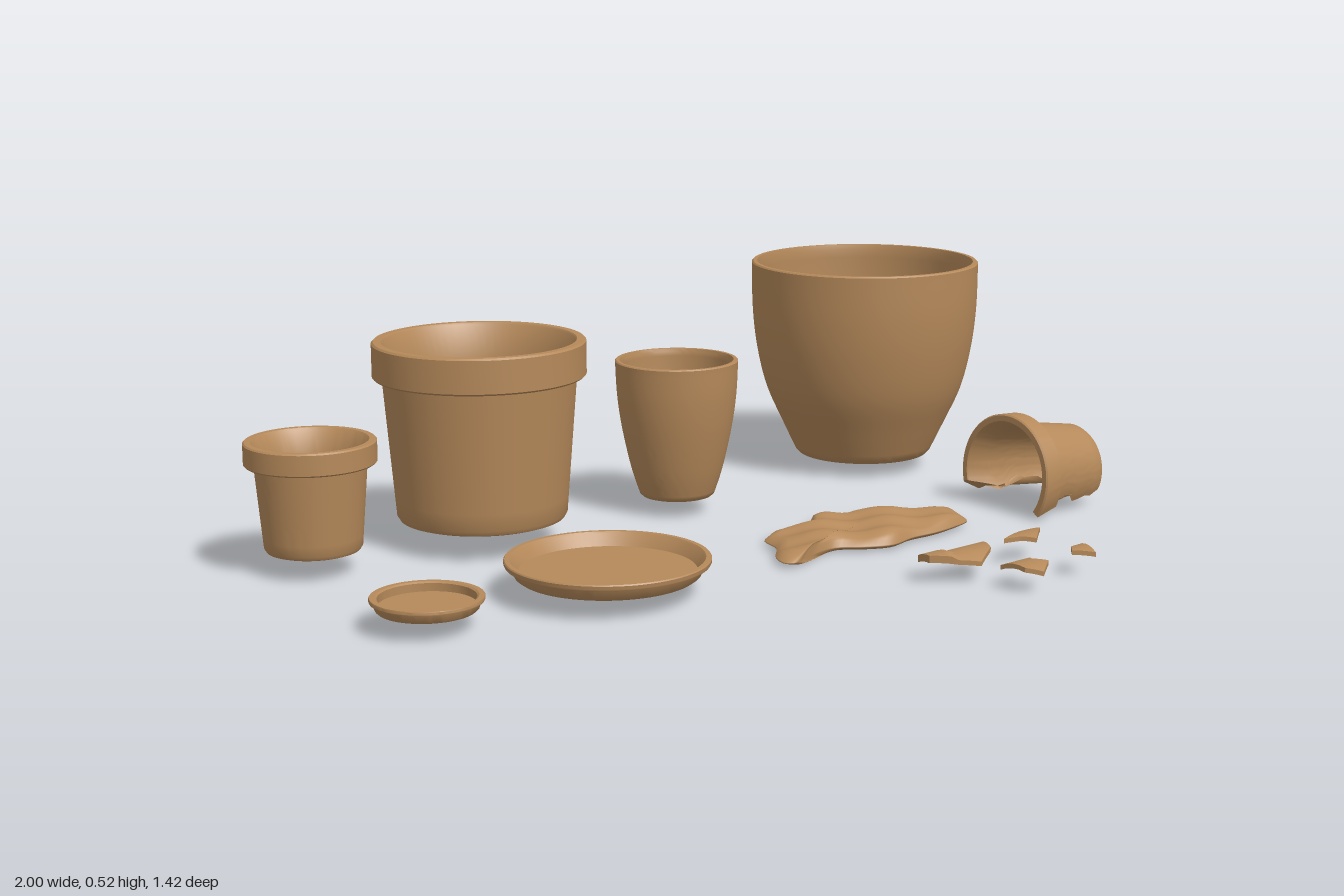
import * as THREE from 'three';
import { toCreasedNormals } from 'three/addons/utils/BufferGeometryUtils.js';

const clay = new THREE.MeshStandardMaterial({ color: 0xb5895a });
const brokenClay = new THREE.MeshStandardMaterial({ color: 0xb5895a, side: THREE.DoubleSide });
const vectors = (pts) => pts.map(([x, y]) => new THREE.Vector2(x, y));

function addMesh(group, name, geometry, x, y, z, material = clay) {
  const mesh = new THREE.Mesh(geometry, material);
  mesh.name = name;
  mesh.position.set(x, y, z);
  group.add(mesh);
  return mesh;
}

const lathe = (profile) => toCreasedNormals(new THREE.LatheGeometry(vectors(profile), 72), 0.6);

// Closed section of a pot with a thick collar and a drain hole
function collarProfile({ base, shoulder, rim, height, collar, hole, wall }) {
  const h = height - collar, e = wall * 0.2, sides = [];
  for (let i = 0; i <= 8; i++) {
    const t = i / 8;
    sides.push([base + (shoulder - base) * t, wall * 0.7 + (h - wall * 0.7) * t]);
  }
  const inner = sides.slice(1).reverse().map(([r, y]) => [r - wall, y]);
  return [
    [hole, 0], [base - wall * 0.9, 0], [base - wall * 0.3, wall * 0.2], ...sides,
    [rim - e, h], [rim, h + e], [rim, height - e], [rim - e, height],
    [rim - wall * 1.2 + e, height], [rim - wall * 1.2, height - e],
    ...inner, [base - wall, wall], [hole, wall], [hole, 0],
  ];
}

// Closed section of a bellied planter, following a smooth outer curve
function plantersProfile(outer, wall, hole) {
  const curve = new THREE.SplineCurve(vectors(outer));
  const out = curve.getPoints(28).map((p) => [p.x, p.y]);
  const top = out[out.length - 1];
  const inner = out.filter(([, y]) => y > wall && y < top[1] - wall * 0.3)
    .reverse().map(([r, y]) => [r - wall, y]);
  return [
    [hole, 0], [out[0][0] - wall * 0.3, 0], [out[0][0], wall * 0.3],
    ...out.slice(1, -1), [top[0], top[1] - wall * 0.2], [top[0] - wall * 0.2, top[1]],
    [top[0] - wall * 0.8, top[1]], ...inner,
    [out[0][0] - wall, wall], [hole, wall], [hole, 0],
  ];
}

function saucerProfile(r, h) {
  const lip = h * 0.32;
  return [
    [0, 0], [r * 0.86, 0], [r * 0.9, h * 0.15], [r * 0.94, h - lip],
    [r * 0.99, h - lip], [r, h - lip * 0.7], [r, h - lip * 0.2], [r * 0.99, h],
    [r - 0.012, h], [r - 0.016, h * 0.9], [r * 0.86, h * 0.3], [0, h * 0.3],
  ];
}

// Solid slab: an outline repeated in shrinking rings, underside first, then top
function slab(outline, cx, cz, rings, height) {
  const n = outline.length, pos = [], index = [];
  const scales = [];
  for (let i = 0; i <= rings; i++) scales.push([i / rings, 0]);
  for (let i = rings; i >= 0; i--) scales.push([i / rings, 1]);
  for (const [s, top] of scales) {
    for (const [ox, oz] of outline) {
      const x = cx + (ox - cx) * s, z = cz + (oz - cz) * s;
      pos.push(x, height(x, z, s, top), z);
    }
  }
  for (let i = 0; i < scales.length - 1; i++) {
    for (let j = 0; j < n; j++) {
      const a = i * n + j, b = i * n + (j + 1) % n;
      if (scales[i][0] > 0) index.push(a, a + n, b);
      if (scales[i + 1][0] > 0) index.push(b, a + n, b + n);
    }
  }
  const g = new THREE.BufferGeometry();
  g.setAttribute('position', new THREE.Float32BufferAttribute(pos, 3));
  g.setIndex(index);
  g.computeVertexNormals();
  return g;
}

// Pot shell on its side with the lower part broken off along a ragged line
function brokenPot(profile) {
  const group = new THREE.Group();
  group.name = 'brokenPot';
  const half = 2.02, mid = Math.PI / 2;
  const jag = (y, side) => 0.1 * Math.sin(y * 42 + side * 1.3) + 0.07 * Math.sin(y * 95 + side);
  const bend = (phi, y) => {
    const t = (phi - mid) / half;
    return phi + t ** 4 * Math.sign(t) * jag(y, Math.sign(t));
  };
  const shell = new THREE.LatheGeometry(vectors(profile), 56, mid - half, half * 2);
  const p = shell.attributes.position;
  for (let i = 0; i < p.count; i++) {
    const r = Math.hypot(p.getX(i), p.getZ(i)), y = p.getY(i);
    const column = Math.floor(i / profile.length);
    const phi = bend(mid - half + (column / 56) * half * 2, y);
    p.setXYZ(i, r * Math.sin(phi), y, r * Math.cos(phi));
  }
  addMesh(group, 'brokenPotShell', toCreasedNormals(shell, 0.6), 0, 0, 0, brokenClay);
  // fracture faces close the wall thickness
  for (const side of [-1, 1]) {
    const face = new THREE.ShapeGeometry(new THREE.Shape(vectors(profile.slice(0, -1))));
    const q = face.attributes.position;
    for (let i = 0; i < q.count; i++) {
      const r = q.getX(i), y = q.getY(i), phi = bend(mid + side * half, y);
      q.setXYZ(i, r * Math.sin(phi), y, r * Math.cos(phi));
    }
    face.computeVertexNormals();
    addMesh(group, 'fractureFace', face, 0, 0, 0, brokenClay);
  }
  return group;
}

export function createModel() {
  const model = new THREE.Group();
  model.name = 'flowerPots';

  // Collared pots
  const small = { base: 0.104, shoulder: 0.119, rim: 0.14, height: 0.24, collar: 0.05, hole: 0.025, wall: 0.016 };
  const medium = { base: 0.188, shoulder: 0.213, rim: 0.234, height: 0.4, collar: 0.08, hole: 0.033, wall: 0.02 };
  addMesh(model, 'smallPot', lathe(collarProfile(small)), -0.86, 0.047, -0.315);
  addMesh(model, 'mediumPot', lathe(collarProfile(medium)), -0.449, 0.058, -0.315);

  // Bellied planters
  addMesh(model, 'slimPlanter', lathe(plantersProfile(
    [[0.085, 0], [0.106, 0.065], [0.127, 0.16], [0.138, 0.24], [0.142, 0.32]], 0.013, 0.012)), 0.064, 0.039, -0.305);
  addMesh(model, 'largePlanter', lathe(plantersProfile(
    [[0.165, 0], [0.203, 0.08], [0.243, 0.17], [0.267, 0.27], [0.278, 0.37], [0.28, 0.483]], 0.016, 0.025)), 0.715, 0.034, -0.432);

  // Saucers
  addMesh(model, 'smallSaucer', lathe(saucerProfile(0.114, 0.028)), -0.862, 0.04, 0.19);
  addMesh(model, 'mediumSaucer', lathe(saucerProfile(0.214, 0.04)), -0.443, 0.04, 0.19);

  // Broken pot lying on its side
  const broken = brokenPot(collarProfile({ ...small, base: 0.102, height: 0.23, hole: 0.066 }));
  broken.position.set(0.908, 0.074, 0.13);
  broken.rotation.set(0, 0.05, Math.PI / 2 - 0.06);
  model.add(broken);

  // Spilled soil
  const soilOutline = [
    [-0.03, 0.246], [-0.021, 0.2], [0.027, 0.134], [0.043, 0.07], [0.091, 0.048], [0.134, 0.058],
    [0.187, 0.043], [0.219, 0.005], [0.262, -0.003], [0.305, 0.016], [0.358, 0.008], [0.4, 0.037],
    [0.465, 0.06], [0.519, 0.1], [0.535, 0.144], [0.519, 0.198], [0.465, 0.22], [0.4, 0.235],
    [0.326, 0.24], [0.251, 0.262], [0.187, 0.24], [0.134, 0.21], [0.075, 0.219], [0.027, 0.24], [-0.011, 0.257],
  ];
  const edge = new THREE.CatmullRomCurve3(soilOutline.map(([x, z]) => new THREE.Vector3(x, 0, z)), true)
    .getPoints(120).slice(0, -1).map((v) => [v.x, v.z]);
  const lumps = (x, z) => 0.005 * Math.sin(x * 34 + z * 21) + 0.004 * Math.sin(z * 62 - x * 27 + 1);
  addMesh(model, 'spilledSoil', slab(edge, 0.251, 0.134, 14, (x, z, s, top) => {
    const round = Math.sqrt(Math.max(0, 1 - s ** 6));
    return top ? 0.013 + round * (0.022 + lumps(x, z)) : 0.01 * (1 - round);
  }), 0, 0, 0);

  // Curved shards; the largest keeps a strip of thicker collar along one side
  const shards = [
    { pts: [[0.144, 0.476], [0.193, 0.476], [0.316, 0.481], [0.294, 0.535], [0.241, 0.567], [0.193, 0.55], [0.139, 0.519]], collar: 0.193 },
    { pts: [[0.369, 0.492], [0.465, 0.449], [0.487, 0.476], [0.439, 0.519], [0.412, 0.5]], collar: 0 },
    { pts: [[0.246, 0.62], [0.321, 0.62], [0.305, 0.652], [0.326, 0.679], [0.289, 0.706], [0.257, 0.684]], collar: 0 },
    { pts: [[0.444, 0.62], [0.481, 0.615], [0.465, 0.674], [0.422, 0.647]], collar: 0 },
  ];
  for (const { pts, collar } of shards) {
    const outline = pts.flatMap((p, i) => {
      const q = pts[(i + 1) % pts.length];
      return [0, 0.25, 0.5, 0.75].map((t) => [p[0] + (q[0] - p[0]) * t, p[1] + (q[1] - p[1]) * t]);
    });
    const cx = pts.reduce((s, p) => s + p[0], 0) / pts.length;
    const cz = pts.reduce((s, p) => s + p[1], 0) / pts.length;
    const g = slab(outline, cx, cz, 5, (x, z, s, top) =>
      0.05 - 6 * (z - cz) ** 2 + 0.04 * (x - cx) + top * (x < collar ? 0.016 : 0.01));
    addMesh(model, 'shard', toCreasedNormals(g, 0.6), 0, 0, 0);
  }
  return model;
}
